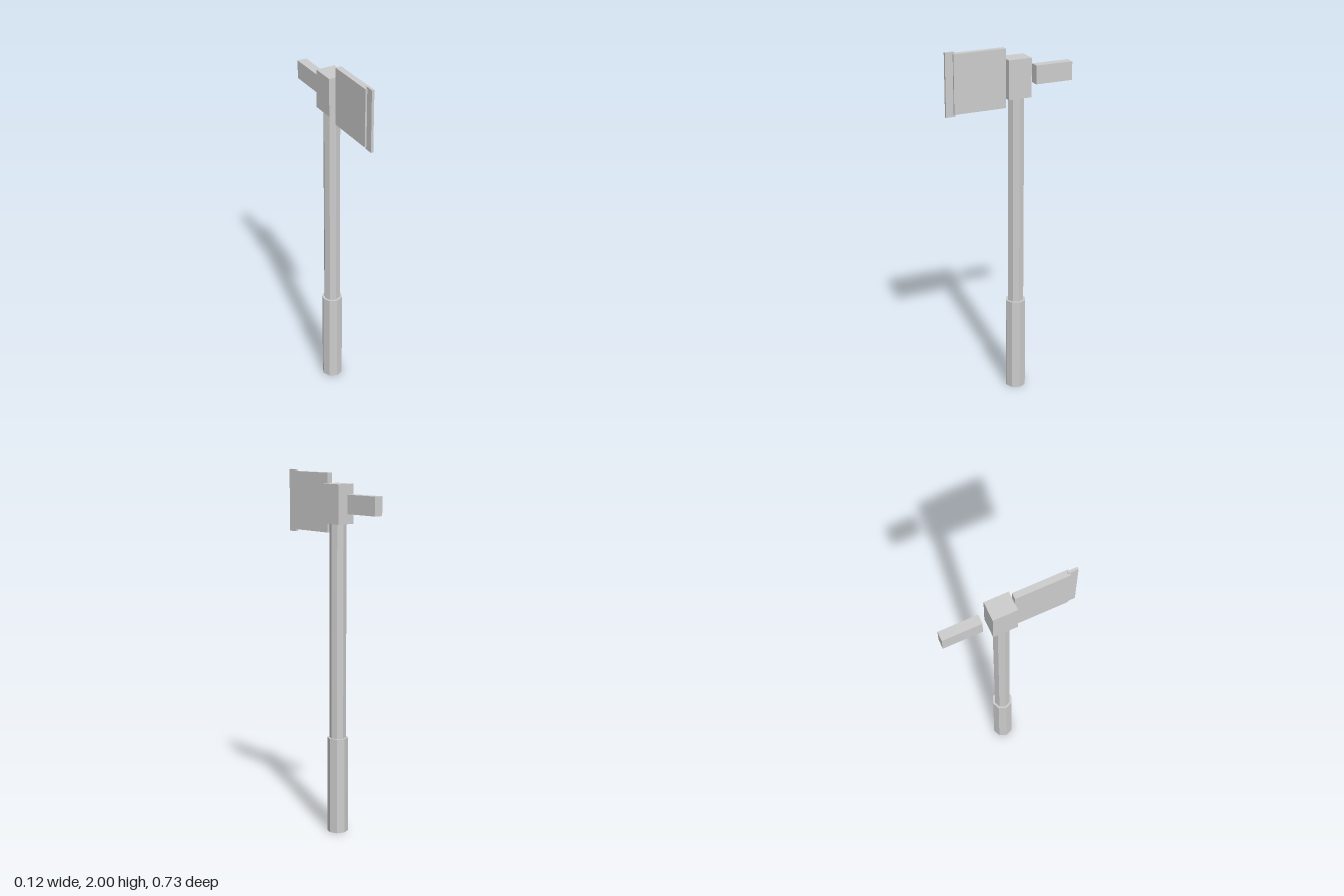
import * as THREE from 'three';

export function createModel() {
  const group = new THREE.Group();
  const grey = new THREE.MeshStandardMaterial({ color: 0xcccccc });
  grey.name = 'plain grey';
  grey.flatShading = true;

  const add = (name, geometry, y, z) => {
    const mesh = new THREE.Mesh(geometry, grey);
    mesh.name = name;
    mesh.position.set(0, y, z);
    group.add(mesh);
  };
  // Box given by its width and its y and z extents
  const box = (name, width, y0, y1, z0, z1) =>
    add(name, new THREE.BoxGeometry(width, y1 - y0, z1 - z0), (y0 + y1) / 2, (z0 + z1) / 2);
  // Upright octagonal pole, corners on the x and z axes
  const poleZ = -0.042;
  const pole = (name, radius, y0, y1) =>
    add(name, new THREE.CylinderGeometry(radius, radius, y1 - y0, 8), (y0 + y1) / 2, poleZ);

  // Handle
  pole('grip', 0.058, 0, 0.54);
  pole('shaft', 0.046, 0.54, 1.725);

  // Head: socket block, blade with a thin cutting edge, and the separate rear hammer
  box('headBlock', 0.106, 1.722, 1.935, -0.108, 0.025);
  box('blade', 0.034, 1.67, 1.99, 0.025, 0.32);
  box('cuttingEdge', 0.014, 1.657, 2, 0.31, 0.363);
  box('rearHammer', 0.052, 1.78, 1.882, -0.363, -0.15);

  return group;
}
